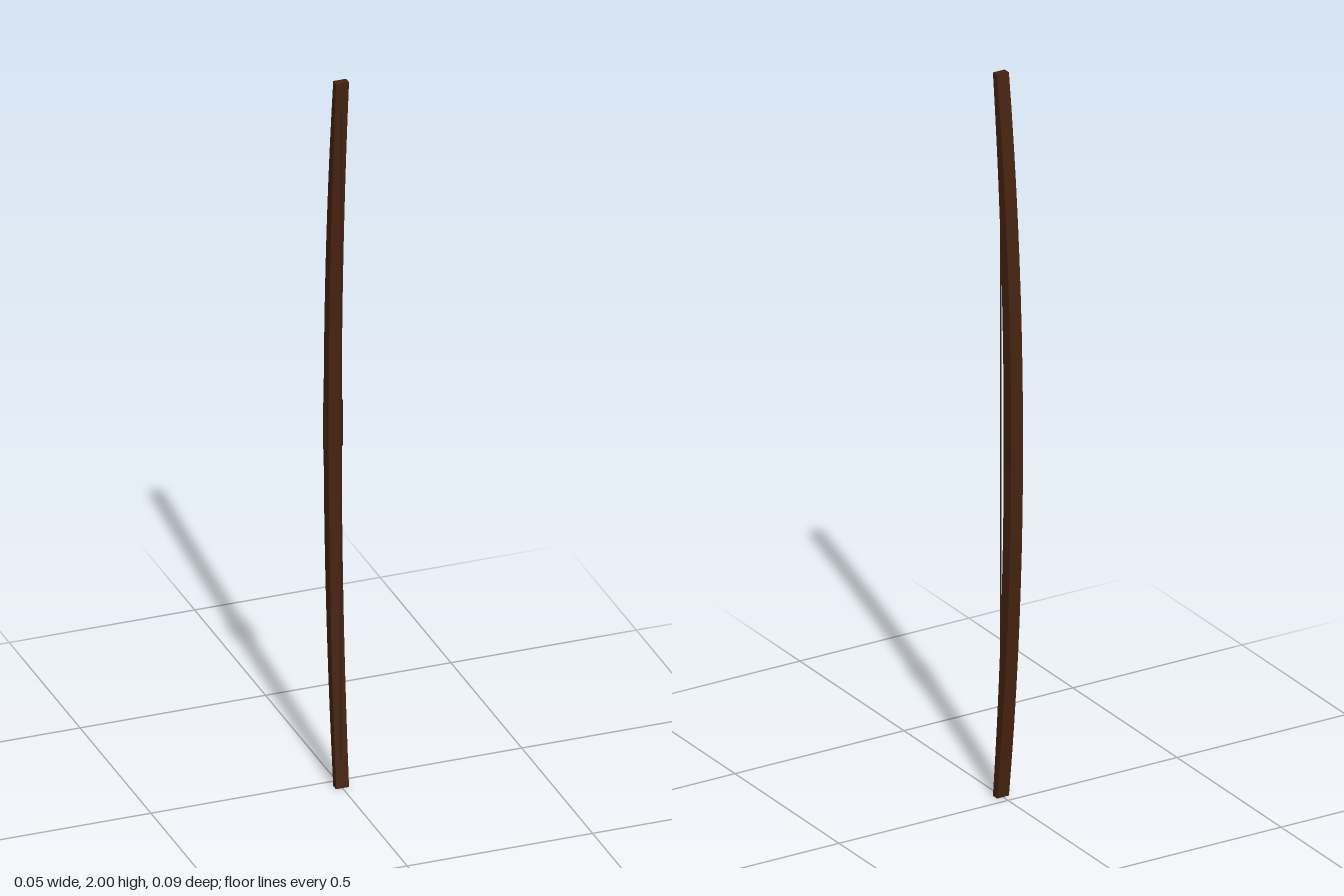
import * as THREE from 'three';

const paint = (name, color) => {
  const m = new THREE.MeshStandardMaterial({ color });
  m.name = name;
  return m;
};

export function createModel() {
  const wood = paint('brown wood', 0x46230f);
  const leather = paint('dark leather', 0x331a0c);
  const cord = paint('dark cord', 0x33241a);

  const bow = new THREE.Group();
  bow.name = 'longbow';
  const add = (name, geometry, material, y, z) => {
    const mesh = new THREE.Mesh(geometry, material);
    mesh.name = name;
    mesh.position.set(0, y, z);
    bow.add(mesh);
    return mesh;
  };

  // Stave: a curved side profile, thick at the middle and thin at the tips
  const steps = 20, width = 0.035;
  const belly = [], back = [];
  for (let i = 0; i <= steps; i++) {
    const t = -1 + (2 * i) / steps;
    const centre = -0.026 + 0.06 * t * t;
    const half = 0.018 - 0.008 * t * t;
    belly.push(new THREE.Vector2(centre + half, 1 + t));
    back.unshift(new THREE.Vector2(centre - half, 1 + t));
  }
  const stave = new THREE.ExtrudeGeometry(new THREE.Shape([...belly, ...back]), {
    depth: width, bevelEnabled: false,
  });
  stave.translate(0, 0, -width / 2).rotateY(-Math.PI / 2);
  add('stave', stave, wood, 0, 0);

  // Grip: a flattened five-sided sleeve around the middle
  const grip = new THREE.CylinderGeometry(0.0285, 0.0285, 0.13, 5).toNonIndexed();
  grip.scale(1, 1, 0.43);
  grip.computeVertexNormals();
  add('grip', grip, leather, 1, -0.027);

  // String: straight between the two tips
  add('string', new THREE.CylinderGeometry(0.002, 0.002, 1.97, 6), cord, 1, 0.035);

  return bow;
}
